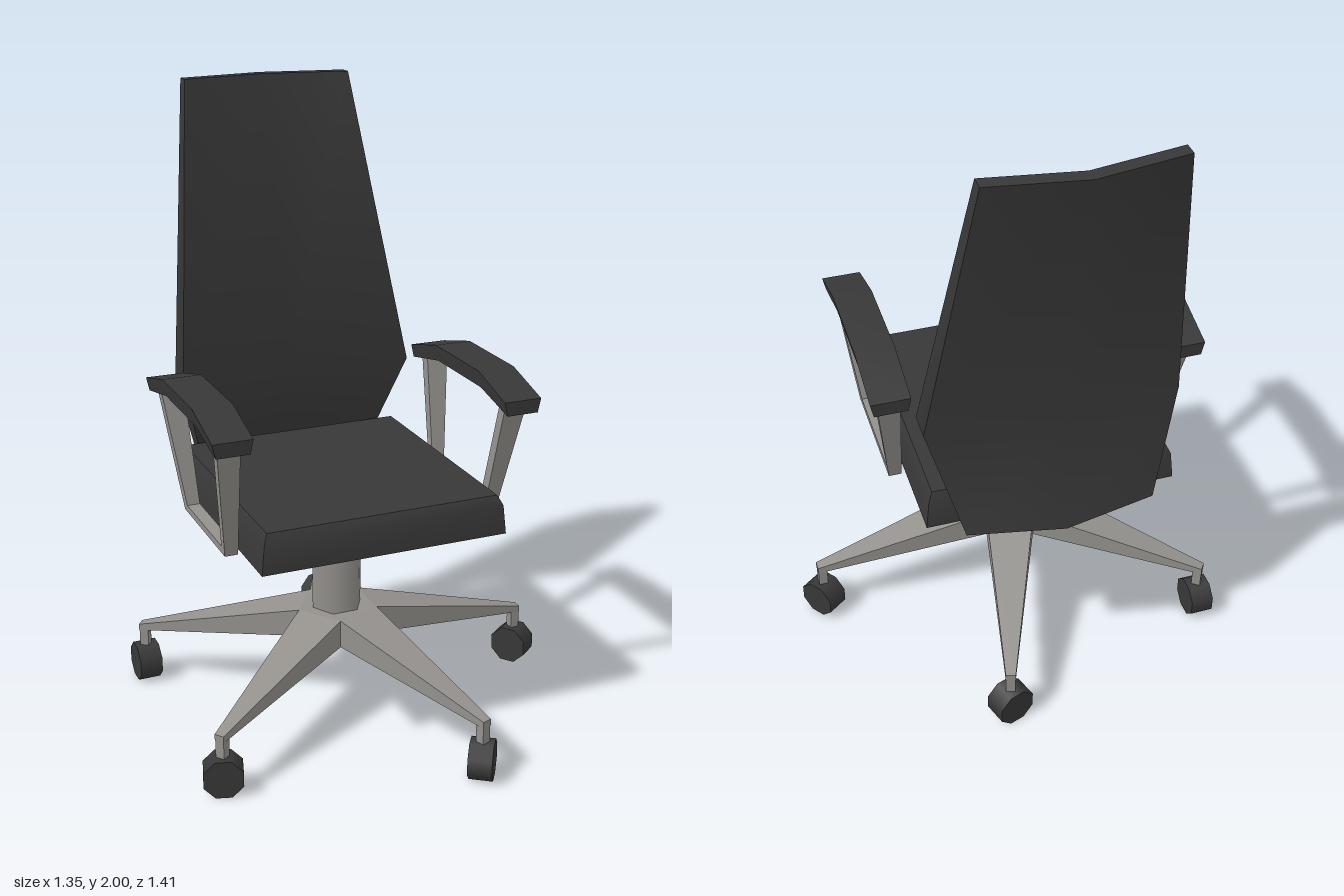
import * as THREE from 'three';
import { toCreasedNormals } from 'three/addons/utils/BufferGeometryUtils.js';

// Closed solid through rings of [x, y, z] points, capped at both ends
function loft(rings, crease = 0.3) {
  const n = rings[0].length;
  const pts = rings.flat();
  const tris = [];
  for (let r = 0; r < rings.length - 1; r++) {
    for (let i = 0; i < n; i++) {
      const a = r * n + i, b = r * n + (i + 1) % n;
      tris.push([a, b, b + n], [a, b + n, a + n]);
    }
  }
  const last = (rings.length - 1) * n;
  for (let i = 1; i < n - 1; i++) {
    tris.push([0, i + 1, i], [last, last + i, last + i + 1]);
  }
  // turn every face outward, whichever way the rings run
  const v = pts.map((p) => new THREE.Vector3(...p));
  const volume = tris.reduce((sum, [a, b, c]) => sum + v[a].dot(v[b].clone().cross(v[c])), 0);
  if (volume < 0) tris.forEach((t) => t.reverse());
  const geo = new THREE.BufferGeometry();
  geo.setAttribute('position', new THREE.Float32BufferAttribute(pts.flat(), 3));
  geo.setIndex(tris.flat());
  return toCreasedNormals(geo, crease);
}

export function createModel() {
  const upholstery = new THREE.MeshStandardMaterial({ color: 0x383838 });
  upholstery.name = 'dark upholstery';
  const metal = new THREE.MeshStandardMaterial({ color: 0x94918d });
  metal.name = 'grey metal';

  const model = new THREE.Group();
  model.name = 'officeChair';
  const chair = new THREE.Group();
  chair.name = 'chair';
  chair.position.x = -0.065;
  model.add(chair);

  const add = (name, geo, mat, parent = chair) => {
    const mesh = new THREE.Mesh(geo, mat);
    mesh.name = name;
    parent.add(mesh);
    return mesh;
  };

  // Seat cushion: [y, half width, front z, back z]
  add('seat', loft([
    [0.69, 0.402, 0.408, -0.43],
    [0.785, 0.392, 0.405, -0.425],
    [0.815, 0.378, 0.388, -0.41],
  ].map(([y, w, f, b]) => [[-w, y, f], [w, y, f], [w, y, b], [-w, y, b]]), 0.9), upholstery);

  // Backrest, bent at the waist and wrapping forward at its sides:
  // [y, half width, side front z, side back z, centre front z, centre back z]
  add('backrest', loft([
    [0.71, 0.3, -0.455, -0.515, -0.515, -0.575],
    [1.05, 0.4, -0.33, -0.42, -0.4, -0.485],
    [2.0, 0.285, -0.575, -0.62, -0.622, -0.667],
  ].map(([y, w, sf, sb, cf, cb]) =>
    [[0, y, cf], [w, y, sf], [w, y, sb], [0, y, cb], [-w, y, sb], [-w, y, sf]]), 0.7), upholstery);

  for (const s of [1, -1]) {
    const side = s > 0 ? 'left' : 'right';

    // Arm pad: [z, bottom y, top y]
    add(side + 'ArmPad', loft([
      [0.37, 1.06, 1.105],
      [0.19, 1.1, 1.155],
      [-0.115, 1.1, 1.155],
      [-0.305, 1.06, 1.105],
    ].map(([z, b, t]) =>
      [[s * 0.415, b, z], [s * 0.52, b, z], [s * 0.53, t, z], [s * 0.405, t, z]]), 0.5), upholstery);

    // Arm frame strap: [inner x, outer x, outline z, outline y, inside z, inside y]
    add(side + 'ArmFrame', loft([
      [0.43, 0.505, 0.33, 1.085, 0.295, 1.09],
      [0.415, 0.457, 0.232, 0.69, 0.2, 0.712],
      [0.415, 0.457, -0.17, 0.69, -0.143, 0.712],
      [0.43, 0.505, -0.27, 1.085, -0.23, 1.09],
    ].map(([x0, x1, zo, yo, zi, yi]) =>
      [[s * x0, yo, zo], [s * x1, yo, zo], [s * x1, yi, zi], [s * x0, yi, zi]])), metal);
  }

  // Six-sided gas lift with a wider sleeve
  const post = (name, r, y0, y1) => {
    const geo = new THREE.CylinderGeometry(r, r, y1 - y0, 6, 1, false, Math.PI / 2);
    add(name, geo, metal).position.y = (y0 + y1) / 2;
  };
  post('liftRod', 0.049, 0.5, 0.695);
  post('liftSleeve', 0.085, 0.33, 0.54);

  // Star base: hub pentagon whose corners are the valleys between the arms
  const base = new THREE.Group();
  base.name = 'starBase';
  base.rotation.y = THREE.MathUtils.degToRad(1);
  chair.add(base);
  const hubR = 0.135, step = Math.PI * 2 / 5;
  const hubRing = (y) => [0, 1, 2, 3, 4].map((i) => {
    const a = (i + 0.5) * step;
    return [hubR * Math.cos(a), y, hubR * Math.sin(a)];
  });
  add('hub', loft([hubRing(0.25), hubRing(0.344)]), metal, base);

  const section = (x, w, y0, y1) => [[x, y0, -w], [x, y0, w], [x, y1, w], [x, y1, -w]];
  for (let i = 0; i < 5; i++) {
    const leg = new THREE.Group();
    leg.name = 'baseLeg' + (i + 1);
    leg.rotation.y = -i * step;
    base.add(leg);
    add('legArm', loft([
      section(hubR * Math.cos(step / 2), hubR * Math.sin(step / 2), 0.25, 0.344),
      section(0.69, 0.016, 0.178, 0.2),
    ]), metal, leg);
    add('casterStem', new THREE.BoxGeometry(0.03, 0.09, 0.03), metal, leg).position.set(0.674, 0.14, 0);

    // Eight-sided wheel standing on a flat, its axle swivelled on the stem
    const wheel = new THREE.CylinderGeometry(0.066, 0.066, 0.076, 8, 1, false, Math.PI / 8);
    wheel.rotateZ(Math.PI / 2);
    const caster = add('casterWheel', wheel, upholstery, leg);
    caster.position.set(0.674, 0.061, 0);
    caster.rotation.y = Math.PI / 5;
  }

  return model;
}
